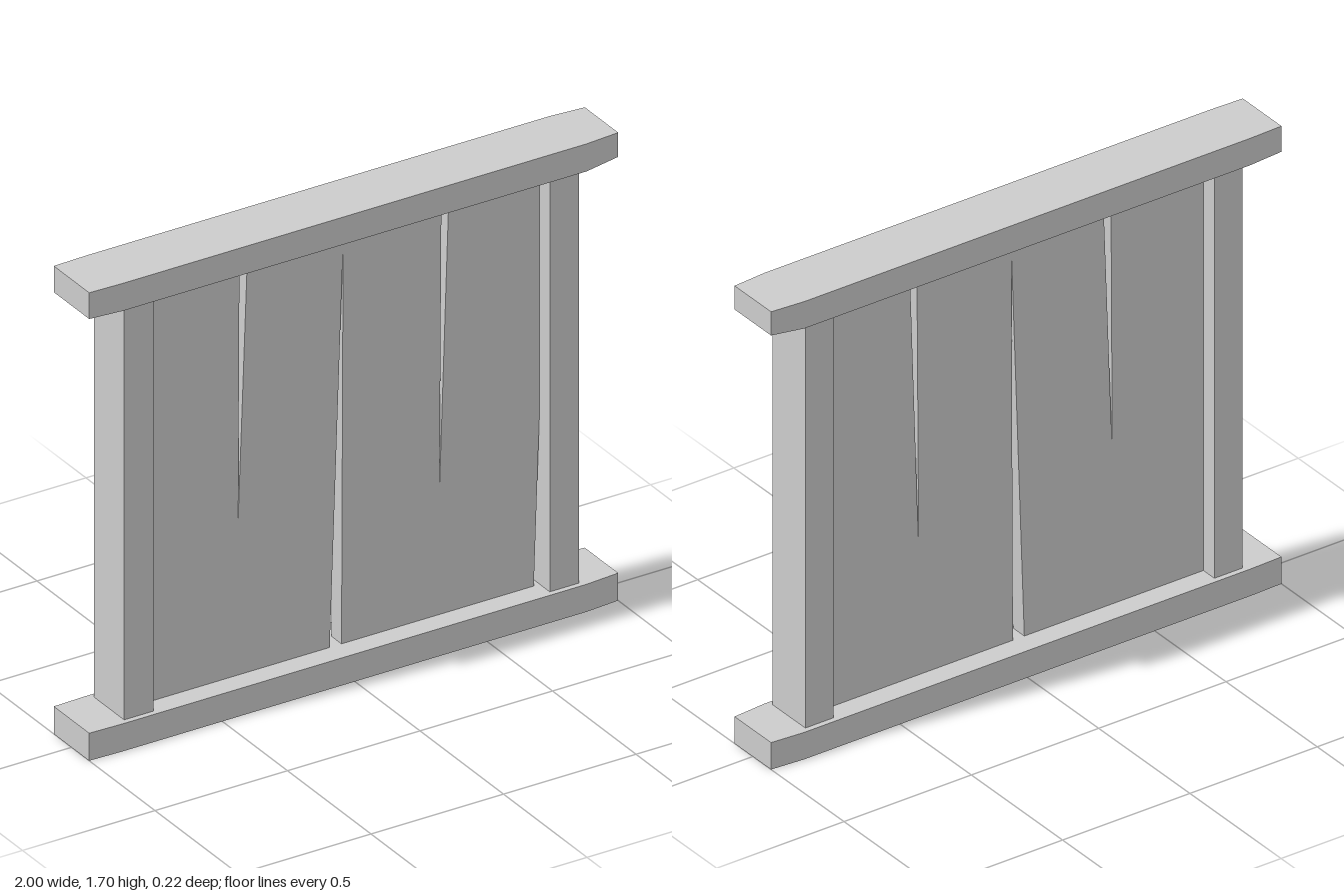
import * as THREE from 'three';

const material = new THREE.MeshStandardMaterial({ color: 0xcccccc, flatShading: true });

function add(group, name, geometry) {
  const mesh = new THREE.Mesh(geometry, material);
  mesh.name = name;
  group.add(mesh);
  return mesh;
}

// Hand-cut beam: a box with stations along x, narrowed slightly at the ends
function rail(y0, y1, endLift) {
  const g = new THREE.BoxGeometry(2, 1, 0.22, 16, 1, 1);
  const p = g.attributes.position;
  for (let i = 0; i < p.count; i++) {
    const x = p.getX(i);
    const end = Math.max(0, (Math.abs(x) - 0.875) / 0.125);
    const cut = end * (x > 0 ? 1 : 0.4);
    p.setY(i, p.getY(i) > 0 ? y1 : y0 + endLift * cut);
    p.setZ(i, p.getZ(i) * (1 - 0.09 * cut));
  }
  g.computeVertexNormals();
  return g;
}

// Flat board from its outline, centred in depth
function board(outline) {
  const shape = new THREE.Shape(outline.map(([x, y]) => new THREE.Vector2(x, y)));
  return new THREE.ExtrudeGeometry(shape, { depth: 0.06, bevelEnabled: false }).translate(0, 0, -0.03);
}

export function createModel() {
  const group = new THREE.Group();

  // Horizontal beams
  add(group, 'bottomRail', rail(0, 0.1, 0));
  add(group, 'topRail', rail(1.6, 1.7, 0.012));

  // Upright posts
  for (const [name, side] of [['leftPost', 1], ['rightPost', -1]]) {
    add(group, name, new THREE.BoxGeometry(0.11, 1.52, 0.18)).position.set(side * 0.803, 0.85, 0);
  }

  // Warped boards with tapering gaps between them
  const bottom = 0.09, top = 1.61;
  const boards = [
    [[-0.76, bottom], [-0.39, bottom], [-0.39, 0.66], [-0.385, top], [-0.76, top]],
    [[-0.39, bottom], [-0.045, bottom], [0.006, 1.55], [0.006, top], [-0.355, top], [-0.39, 0.66]],
    [[0, bottom], [0.37, bottom], [0.37, 0.56], [0.377, top], [0.006, top], [0.006, 1.55]],
    [[0.37, bottom], [0.725, bottom], [0.748, 0.75], [0.76, top], [0.405, top], [0.37, 0.56]],
  ];
  boards.forEach((outline, i) => add(group, `board${i + 1}`, board(outline)));

  return group;
}
